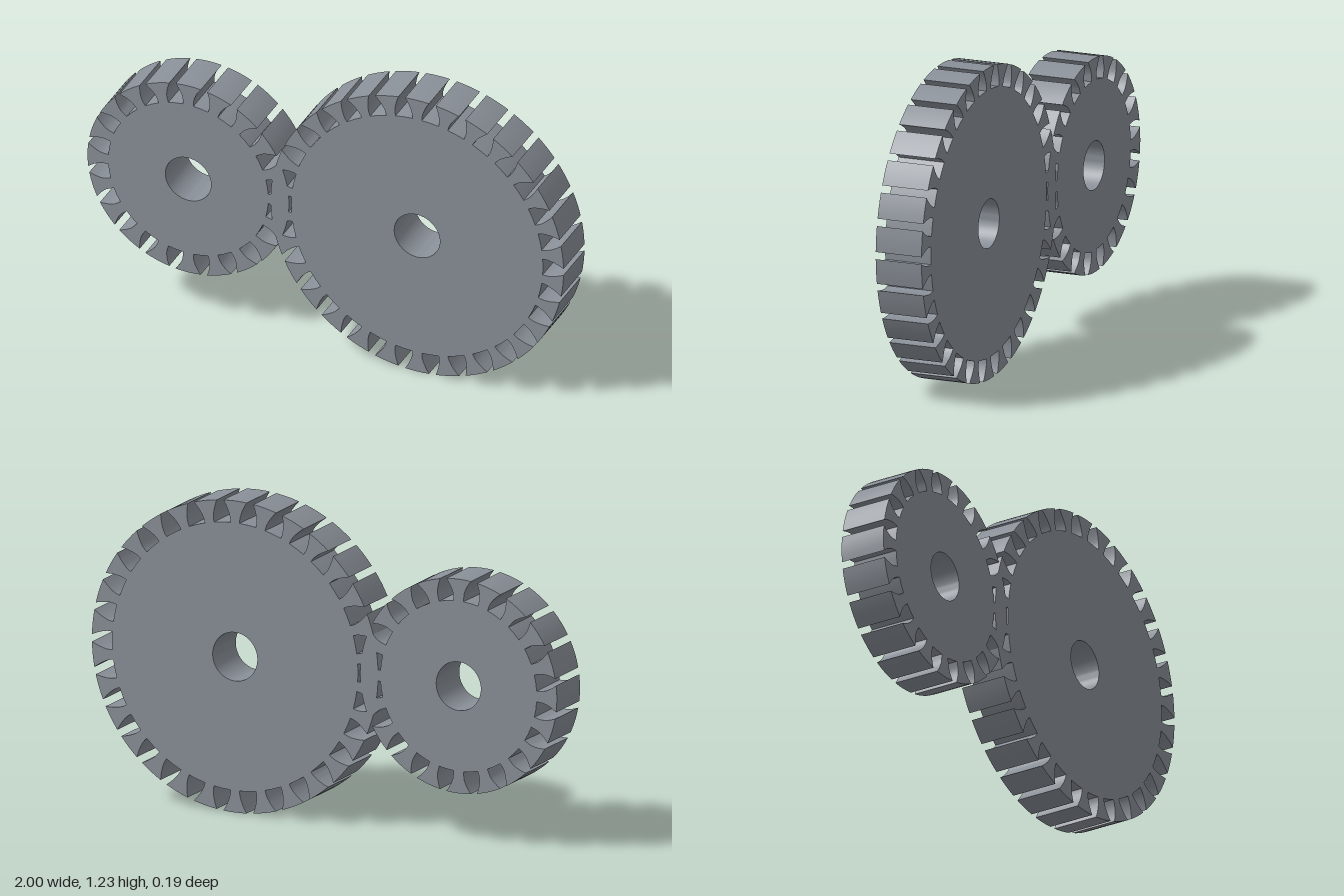
import * as THREE from 'three';
import { toCreasedNormals } from 'three/addons/utils/BufferGeometryUtils.js';

const M = 2 / 52;            // gear module: both gears together span 2 units
const DEPTH = 5 * M;
const BORE = 2.5 * M;
const FLANK_STEPS = 8;
const steel = new THREE.MeshStandardMaterial({ color: 0x8a9098 });

const inv = (a) => Math.tan(a) - a; // involute function
const PRESSURE = THREE.MathUtils.degToRad(20);

// Half angle of a slot at radius r: wide at the root, narrow at the rim
function slotHalfAngle(r, teeth) {
  const base = (teeth * M / 2) * Math.cos(PRESSURE);
  const a = r > base ? Math.acos(base / r) : 0;
  return Math.PI / (2 * teeth) + inv(PRESSURE) - inv(a);
}

function makeGear(name, teeth, x, y) {
  const outer = (teeth / 2 + 1) * M;
  const root = (teeth / 2 - 1.25) * M;
  const pitch = 2 * Math.PI / teeth;
  const points = [];
  const add = (r, a) => points.push(new THREE.Vector2(r * Math.cos(a), r * Math.sin(a)));

  // One flared tooth and one slot per step, with a tooth pointing straight up
  for (let i = 0; i < teeth; i++) {
    const slot = Math.PI / 2 + (i + 0.5) * pitch;
    for (let k = 0; k <= FLANK_STEPS; k++) { // flank going in
      const r = THREE.MathUtils.lerp(outer, root, k / FLANK_STEPS);
      add(r, slot - slotHalfAngle(r, teeth));
    }
    add(root, slot);
    for (let k = 0; k <= FLANK_STEPS; k++) { // flank coming out
      const r = THREE.MathUtils.lerp(root, outer, k / FLANK_STEPS);
      add(r, slot + slotHalfAngle(r, teeth));
    }
    const tip = pitch / 2 - slotHalfAngle(outer, teeth);
    for (const t of [-0.5, 0, 0.5]) add(outer, slot + pitch / 2 + t * tip); // rounded rim
  }

  const shape = new THREE.Shape(points);
  shape.holes.push(new THREE.Path().absarc(0, 0, BORE, 0, Math.PI * 2, true));
  const extruded = new THREE.ExtrudeGeometry(shape, { depth: DEPTH, bevelEnabled: false, curveSegments: 32 });
  extruded.translate(0, 0, -DEPTH / 2);

  const mesh = new THREE.Mesh(toCreasedNormals(extruded, 0.5), steel);
  mesh.name = name;
  mesh.position.set(x, y, 0);
  return mesh;
}

export function createModel() {
  const group = new THREE.Group();
  group.name = 'gearPair';
  const axisY = 16 * M;
  group.add(makeGear('smallGear', 20, -1 + 11 * M, axisY));
  group.add(makeGear('largeGear', 30, 1 - 16 * M, axisY));
  return group;
}
